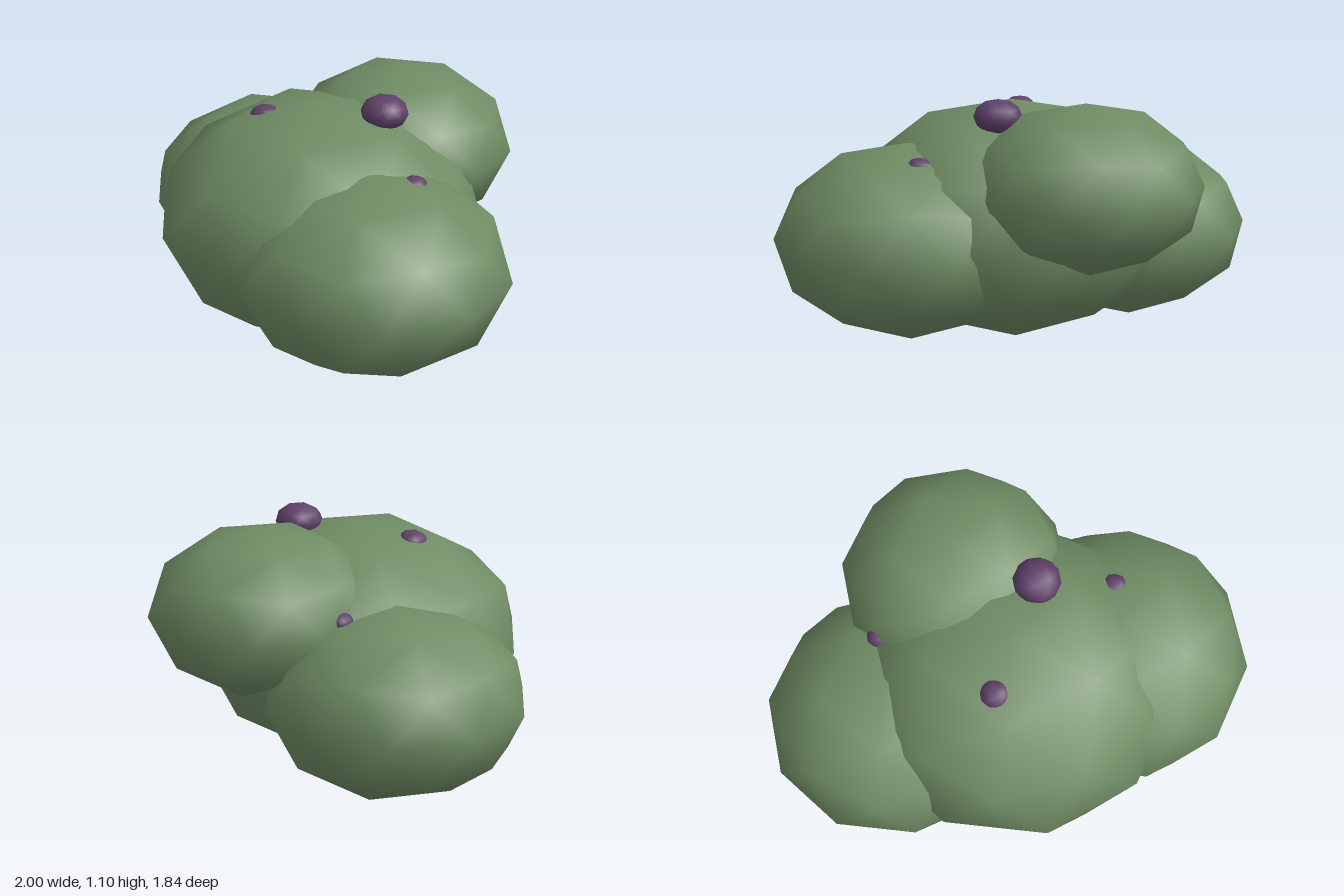
import * as THREE from 'three';

export function createModel() {
  const group = new THREE.Group();
  group.name = 'bush';

  const leafGreen = new THREE.MeshStandardMaterial({ color: 0x6f8c64 });
  leafGreen.name = 'leaf green';
  const berryPurple = new THREE.MeshStandardMaterial({ color: 0x5f4069 });
  berryPurple.name = 'berry purple';

  // Smooth-shaded low-poly ball, turned so that one vertex points straight up
  const ball = new THREE.IcosahedronGeometry(1, 1);
  ball.rotateZ(-Math.atan(2 / (1 + Math.sqrt(5))));

  // Flattened ball: centre, horizontal radius, half height
  function addBall(name, material, x, y, z, radius, halfHeight) {
    const mesh = new THREE.Mesh(ball, material);
    mesh.name = name;
    mesh.position.set(x, y, z);
    mesh.scale.set(radius, halfHeight, radius);
    group.add(mesh);
  }

  // Foliage clumps
  addBall('mainFoliage', leafGreen, 0.01, 0.53, 0.06, 0.737, 0.527);
  addBall('frontLeftFoliage', leafGreen, 0.43, 0.477, 0.315, 0.6, 0.425);
  addBall('backRightFoliage', leafGreen, -0.46, 0.432, -0.252, 0.568, 0.41);
  addBall('upperBackFoliage', leafGreen, 0.14, 0.738, -0.405, 0.515, 0.365);

  // Berries, mostly sunk into the foliage
  addBall('topBerry', berryPurple, 0.27, 1.03, -0.043, 0.106, 0.076);
  addBall('frontBerry', berryPurple, -0.215, 0.977, 0.16, 0.07, 0.05);
  addBall('leftBerry', berryPurple, 0.545, 0.83, 0.175, 0.06, 0.044);
  addBall('backBerry', berryPurple, -0.315, 0.79, -0.44, 0.055, 0.042);

  return group;
}
